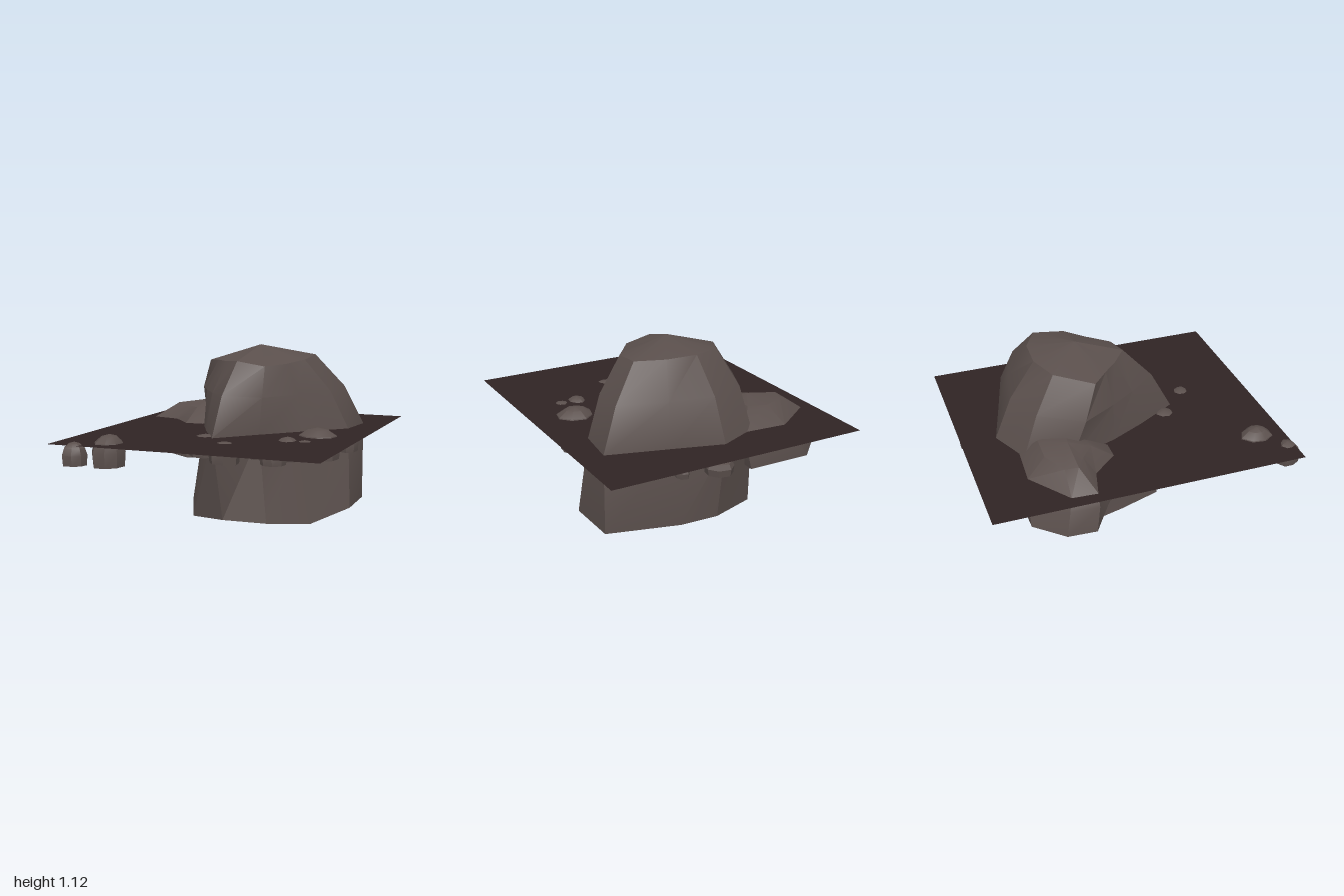
import * as THREE from 'three';
import { toCreasedNormals } from 'three/addons/utils/BufferGeometryUtils.js';

const rockMat = new THREE.MeshStandardMaterial({ color: 0x5a4f4c, side: THREE.DoubleSide });
rockMat.name = 'brownStone';
const groundMat = new THREE.MeshStandardMaterial({ color: 0x302424, side: THREE.DoubleSide });
groundMat.name = 'darkSoil';

// Skin a stack of rings (bottom to top, counterclockwise from above), closed by an apex, open below
function rockShell(rings, apex, crease) {
  const n = rings[0].length, pos = [...rings.flat(2), ...apex], index = [];
  const tip = rings.length * n;
  for (let r = 0; r < rings.length; r++) {
    for (let i = 0; i < n; i++) {
      const a = r * n + i, b = r * n + (i + 1) % n;
      if (r === rings.length - 1) index.push(a, b, tip);
      else index.push(a, b, b + n, a, b + n, a + n);
    }
  }
  const g = new THREE.BufferGeometry();
  g.setAttribute('position', new THREE.Float32BufferAttribute(pos, 3));
  g.setIndex(index);
  return toCreasedNormals(g, crease);
}

// Ring between two others, swelled outward around a centre
function between(lower, upper, t, swell, cx, cz) {
  return lower.map((p, i) => {
    const q = p.map((v, k) => v + (upper[i][k] - v) * t);
    return [cx + (q[0] - cx) * swell, q[1], cz + (q[2] - cz) * swell];
  });
}

function seeded(seed) {
  let s = seed * 7919 + 13;
  return () => (s = (s * 16807) % 2147483647) / 2147483647;
}

// Small domed stone with an uneven outline
function pebble(x, z, rx, rz, y0, y1, seed) {
  const rnd = seeded(seed), n = 8, h = y1 - y0;
  const wobble = Array.from({ length: n }, () => 0.85 + rnd() * 0.2);
  const rings = [[0.93, 0], [1, 0.45], [0.82, 0.75], [0.45, 0.93]].map(([k, t]) =>
    wobble.map((w, i) => {
      const a = (i + 0.3) / n * Math.PI * 2;
      return [x + Math.sin(a) * rx * k * w, y0 + h * t, z + Math.cos(a) * rz * k * w];
    }));
  return rockShell(rings, [x, y1, z], 0.5);
}

export function createModel() {
  const group = new THREE.Group();
  const add = (name, geometry, material) => {
    const m = new THREE.Mesh(geometry, material);
    m.name = name;
    group.add(m);
  };

  // Flat ground sheet cutting through the rocks
  const sheet = new THREE.PlaneGeometry(1.69, 1.955).rotateX(-Math.PI / 2).translate(0, 0.58, -0.02);
  add('ground', sheet, groundMat);

  // Main boulder: foot, ground line, shoulder and crown rings
  const foot = [[0, .04, .28], [.29, .04, .27], [.5, 0, .015], [.69, .07, -.22], [.68, .07, -.57], [.23, .07, -.69],
    [0, .09, -.73], [-.31, .07, -.6], [-.41, .06, -.34], [-.35, .075, -.05], [-.22, .04, .24]];
  const waist = [[-.02, .58, .4], [.2, .58, .16], [.42, .58, -.07], [.65, .58, -.3], [.68, .58, -.57], [.3, .58, -.68],
    [-.02, .58, -.775], [-.28, .58, -.66], [-.39, .58, -.39], [-.28, .58, -.08], [-.17, .58, .14]];
  const crown = [[.02, 1.03, .08], [.2, 1, .06], [.3, 1.01, -.08], [.38, 1.03, -.2], [.39, 1.05, -.4], [.22, 1.06, -.49],
    [.02, 1.06, -.5], [-.16, 1.05, -.43], [-.28, 1.01, -.2], [-.18, 1.02, -.1], [-.09, 1.02, -.01]];
  const shoulder = between(waist, crown, 0.55, 1.1, 0.1, -0.22);
  add('mainBoulder', rockShell([foot, waist, shoulder, crown], [.07, 1.12, -.22], 0.45), rockMat);

  // Flatter boulder leaning on its side
  const base = [[-.84, .36, -.38], [-.83, .36, -.56], [-.66, .35, -.73], [-.24, .35, -.73], [-.24, .35, -.3],
    [-.32, .35, -.12], [-.42, .35, -.1], [-.62, .35, -.24]].reverse();
  const line = [[-.77, .58, -.35], [-.76, .58, -.51], [-.5, .58, -.7], [-.22, .58, -.68], [-.2, .58, -.3],
    [-.32, .58, -.14], [-.44, .58, -.14], [-.58, .58, -.3]].reverse();
  const top = [[-.62, .68, -.42], [-.6, .67, -.5], [-.45, .68, -.58], [-.3, .7, -.58], [-.28, .7, -.4],
    [-.36, .68, -.3], [-.42, .67, -.28], [-.52, .67, -.36]].reverse();
  const bulge = between(base, line, 0.7, 1.07, -0.46, -0.42);
  add('sideBoulder', rockShell([base, bulge, line, top], [-.4, .715, -.42], 0.45), rockMat);

  // Scattered stones: x, z, half width, half depth, bottom, top
  [
    [-.68, .92, .085, .08, .46, .6],
    [-.52, .78, .11, .13, .44, .635],
    [-.28, 0, .09, .1, .47, .57],
    [-.09, .33, .11, .11, .455, .595],
    [.12, .53, .11, .1, .46, .59],
    [.28, .38, .06, .06, .47, .55],
    [.41, .48, .09, .09, .46, .578],
    [.44, .31, .08, .1, .46, .605],
    [.56, .08, .15, .13, .44, .635],
    [.55, .31, .09, .08, .47, .59],
    [.69, -.15, .065, .1, .46, .575],
    [.1, -.9, .1, .09, .48, .575],
    [.33, -.86, .05, .06, .49, .56]
  ].forEach((p, i) => add('stone' + (i + 1), pebble(...p, i + 1), rockMat));

  return group;
}
